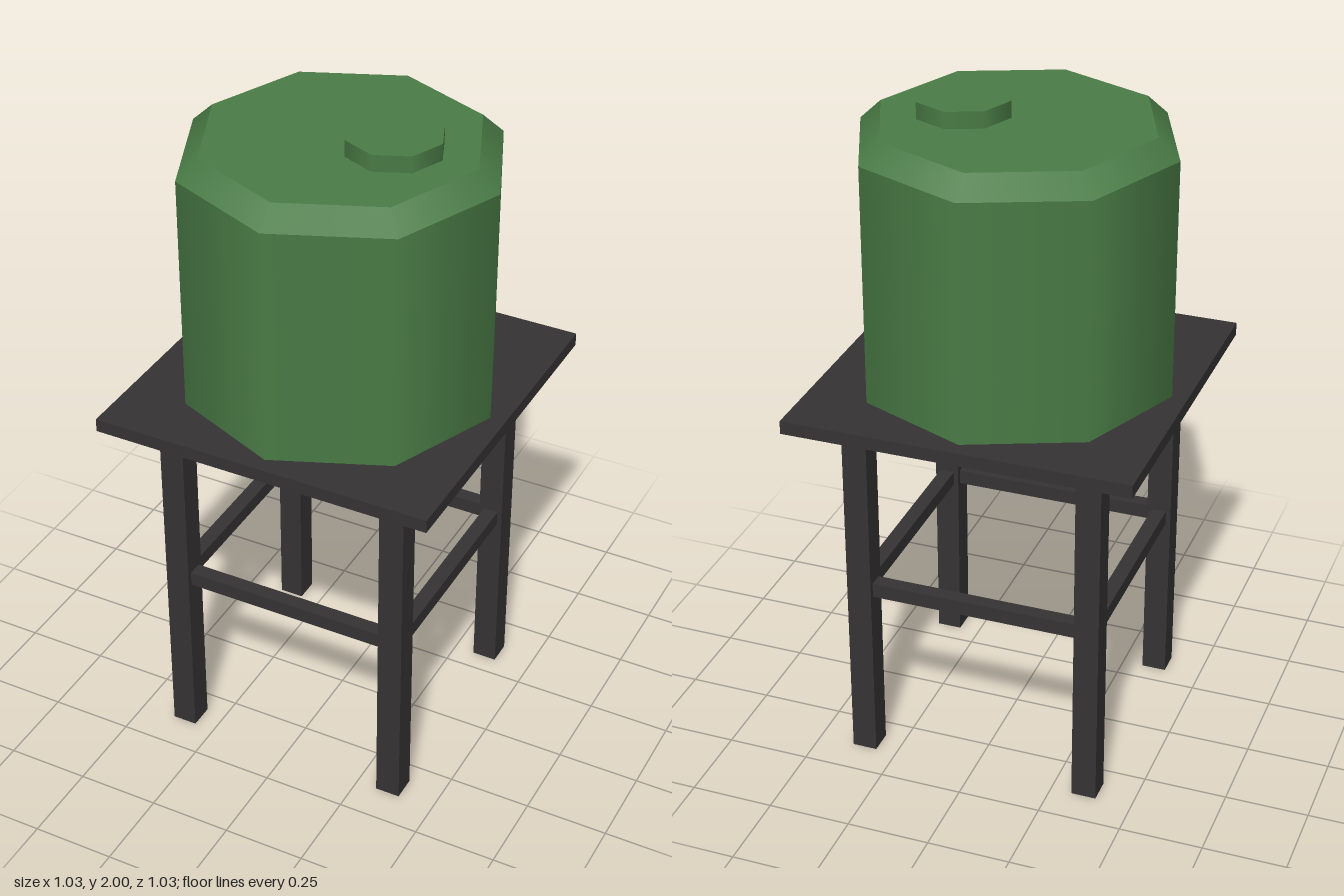
import * as THREE from 'three';

export function createModel() {
  const model = new THREE.Group();
  model.name = 'waterTower';
  const green = new THREE.MeshStandardMaterial({ color: 0x4a7c46 });
  const charcoal = new THREE.MeshStandardMaterial({ color: 0x353334 });

  function add(name, geometry, material, x, y, z, parent = model) {
    const mesh = new THREE.Mesh(geometry, material);
    mesh.name = name;
    mesh.position.set(x, y, z);
    parent.add(mesh);
    return mesh;
  }

  // Eight-sided drum between two heights
  function drum(name, rTop, rBottom, y0, y1, x = 0, open = false) {
    const geometry = new THREE.CylinderGeometry(rTop, rBottom, y1 - y0, 8, 1, open);
    return add(name, geometry, green, x, (y0 + y1) / 2, 0);
  }

  // Tank with sloped shoulder and off-centre hatch
  drum('tankBody', 0.47, 0.47, 1.17, 1.89, 0, true);
  drum('tankShoulder', 0.407, 0.47, 1.89, 1.95);
  drum('hatch', 0.142, 0.142, 1.95, 2.0, 0.158);

  // Platform
  add('platform', new THREE.BoxGeometry(1.034, 0.04, 1.034), charcoal, 0, 1.15, 0);

  // Four legs, each side joined by a rail
  const legOffset = 0.352;
  const legWidth = 0.075;
  const legGeometry = new THREE.BoxGeometry(legWidth, 1.13, legWidth);
  const railGeometry = new THREE.BoxGeometry(legOffset * 2 - legWidth, 0.045, 0.045);
  for (let i = 0; i < 4; i++) {
    const side = new THREE.Group();
    side.name = 'standSide';
    side.rotation.y = (i * Math.PI) / 2;
    model.add(side);
    add('leg', legGeometry, charcoal, legOffset, 0.565, legOffset, side);
    add('rail', railGeometry, charcoal, 0, 0.567, legOffset, side);
  }

  return model;
}
